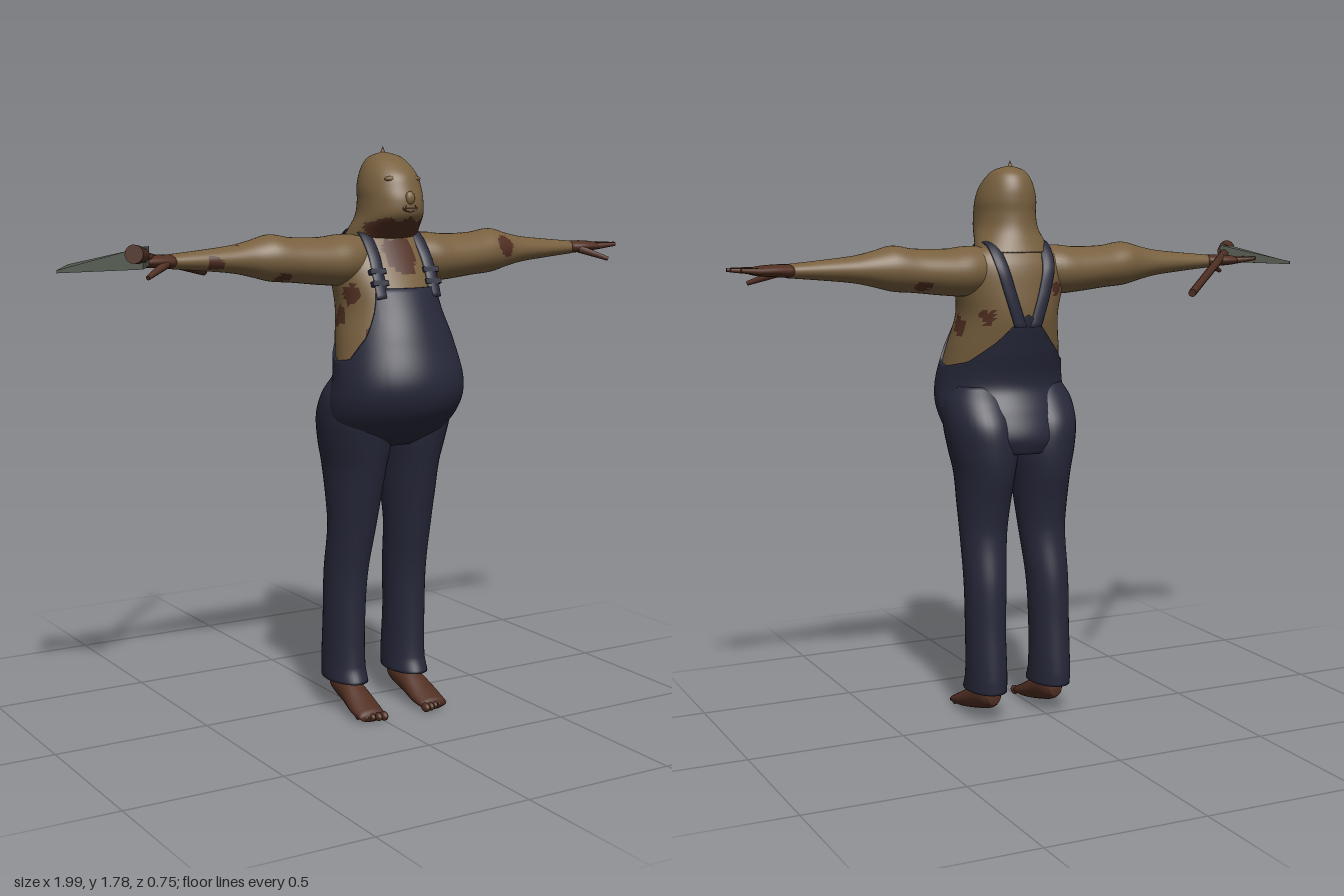
import * as THREE from 'three';

const CX = 0.08; // body centre line
const mat = (name, color) => { const m = new THREE.MeshStandardMaterial({ color }); m.name = name; return m; };

// Smooth interpolation of cross-section rows [a, c, h, p, q] at axis value a
function rowAt(rows, a) {
  const n = rows.length;
  let i = 0;
  while (i < n - 2 && a > rows[i + 1][0]) i++;
  const A = rows[i], B = rows[i + 1], d = B[0] - A[0], t = (a - A[0]) / d;
  const slope = (j, k) => {
    const l = rows[Math.max(j - 1, 0)], r = rows[Math.min(j + 1, n - 1)];
    return (r[k] - l[k]) / (r[0] - l[0]);
  };
  return A.map((v, k) => k === 0 ? a :
    (2 * t ** 3 - 3 * t * t + 1) * v + (t ** 3 - 2 * t * t + t) * d * slope(i, k) +
    (3 * t * t - 2 * t ** 3) * B[k] + (t ** 3 - t * t) * d * slope(i + 1, k));
}
const ringPoint = (r, th, grow = 0) =>
  [r[1] + (r[2] + grow) * Math.cos(th), (r[3] + r[4]) / 2 + ((r[3] - r[4]) / 2 + grow) * Math.sin(th)];

// Closed tube skin over f(angle, j); pick(x, y, z) chooses the material of each face
function skinGeometry(nu, nv, f, pick = () => 0) {
  const pos = [], faces = [[], []];
  for (let j = 0; j <= nv; j++) for (let i = 0; i < nu; i++) pos.push(f(i / nu * Math.PI * 2, j));
  for (const j of [0, nv]) {
    const c = [0, 0, 0];
    for (let i = 0; i < nu; i++) for (let k = 0; k < 3; k++) c[k] += pos[j * nu + i][k] / nu;
    pos.push(c);
  }
  const tri = (a, b, c) => {
    const m = [0, 1, 2].map(k => (pos[a][k] + pos[b][k] + pos[c][k]) / 3);
    faces[pick(...m) ? 1 : 0].push(a, b, c);
  };
  const base = (nv + 1) * nu;
  for (let i = 0; i < nu; i++) {
    const i2 = (i + 1) % nu;
    for (let j = 0; j < nv; j++) {
      const a = j * nu + i, b = j * nu + i2;
      tri(a, a + nu, b);
      tri(b, a + nu, b + nu);
    }
    tri(base, i, i2);
    tri(base + 1, nv * nu + i2, nv * nu + i);
  }
  const g = new THREE.BufferGeometry();
  g.setAttribute('position', new THREE.Float32BufferAttribute(pos.flat(), 3));
  g.setIndex(faces.flat());
  g.addGroup(0, faces[0].length, 0);
  g.addGroup(faces[0].length, faces[1].length, 1);
  g.computeVertexNormals();
  return g;
}
function loft(rows, map, pick, nu = 40, sub = 6) {
  const nv = (rows.length - 1) * sub;
  const rings = Array.from({ length: nv + 1 }, (_, j) => {
    const i = Math.min(Math.floor(j / sub), rows.length - 2);
    return rowAt(rows, THREE.MathUtils.lerp(rows[i][0], rows[i + 1][0], (j - i * sub) / sub));
  });
  return skinGeometry(nu, nv, (th, j) => map(rings[j][0], ...ringPoint(rings[j], th)), pick);
}
const upright = (y, u, w) => [CX + u, y, w];
const near = spots => (x, y, z) => spots.some(([a, b, c, r]) =>
  Math.hypot(x - a, y - b, z - c) < r * (1 + 0.2 * Math.sin(90 * x + 70 * y + 110 * z)));

export function createModel() {
  const root = new THREE.Group();
  const skin = mat('skin', 0x78603f), stain = mat('stainedSkin', 0x512f22);
  const denim = mat('denim', 0x27283a), steel = mat('steel', 0x50564c);
  const wood = mat('wood', 0x4e2f22), dark = mat('darkLines', 0x33241a);
  const both = [skin, stain];
  const add = (name, geo, m, p) => {
    const o = new THREE.Mesh(geo, m);
    o.name = name;
    if (p) o.position.set(...p);
    root.add(o);
    return o;
  };
  const rod = (name, a, b, r0, r1, m, seg = 10) => {
    const A = new THREE.Vector3(...a), B = new THREE.Vector3(...b), d = B.clone().sub(A);
    const o = add(name, new THREE.CylinderGeometry(r1, r0, d.length(), seg), m);
    o.position.copy(A).add(B).multiplyScalar(0.5);
    o.quaternion.setFromUnitVectors(new THREE.Vector3(0, 1, 0), d.normalize());
  };

  // Torso: [y, x centre, half width, front z, back z]
  const torso = [[0.87, 0, 0.13, 0.20, -0.03], [0.92, 0, 0.185, 0.275, -0.045], [1.0, 0, 0.208, 0.345, -0.02],
    [1.08, 0, 0.203, 0.362, 0.015], [1.2, 0, 0.183, 0.325, -0.012], [1.3, 0, 0.165, 0.283, -0.034],
    [1.4, 0, 0.178, 0.235, -0.03], [1.46, 0, 0.175, 0.20, -0.02], [1.5, 0, 0.15, 0.175, 0], [1.54, 0, 0.07, 0.15, 0.03]];
  add('torso', loft(torso, upright, near([[CX, 1.46, 0.19, 0.055], [CX, 1.42, 0.22, 0.03], [CX + 0.16, 1.27, 0.12, 0.032],
    [CX - 0.16, 1.27, 0.12, 0.032], [CX + 0.16, 1.34, 0.17, 0.03], [CX - 0.16, 1.34, 0.17, 0.03],
    [CX + 0.13, 1.21, 0.25, 0.03], [CX - 0.13, 1.21, 0.25, 0.03], [CX + 0.13, 1.3, 0, 0.03], [CX - 0.12, 1.38, 0, 0.025]]), 64, 8), both);

  // Overalls body: shell whose upper edge varies from the bib round to the back
  const edge = [[0, 1.36], [0.66, 1.36], [0.74, 1.31], [0.95, 1.22], [1.3, 1.15], [1.7, 1.14], [2.2, 1.16],
    [2.6, 1.22], [2.9, 1.28], [3.15, 1.31]];
  const topEdge = th => {
    const f = Math.acos(THREE.MathUtils.clamp(Math.sin(th), -1, 1));
    const i = Math.max(1, edge.findIndex(e => e[0] >= f)), [a, b] = [edge[i - 1], edge[i]];
    return a[1] + (b[1] - a[1]) * (f - a[0]) / (b[0] - a[0]);
  };
  const NV = 40;
  add('overallsBody', skinGeometry(96, NV, (th, j) => {
    // last ring tucks inwards to close the edge
    const y = THREE.MathUtils.lerp(0.87, topEdge(th), Math.min(j / (NV - 1), 1));
    return upright(y, ...ringPoint(rowAt(torso, y), th, j === NV ? -0.03 : 0.008));
  }), denim);

  // Hood and face
  const head = [[1.5, 0, 0.124, 0.165, -0.012], [1.53, 0, 0.115, 0.195, 0.0], [1.575, 0, 0.1, 0.248, 0.015],
    [1.62, 0, 0.095, 0.255, 0.02], [1.66, 0, 0.094, 0.243, 0.018], [1.7, 0, 0.084, 0.225, 0.022],
    [1.735, 0, 0.066, 0.185, 0.037], [1.755, 0, 0.045, 0.15, 0.06], [1.766, 0, 0.012, 0.11, 0.09]];
  add('hood', loft(head, upright, (x, y, z) => y < 1.565 + 0.008 * Math.sin(x * 90) && z > 0.15, 48, 6), both);
  add('hoodTuft', new THREE.ConeGeometry(0.012, 0.03, 8), skin, [CX, 1.77, 0.095]);
  add('nose', new THREE.SphereGeometry(0.016, 14, 10), skin, [CX, 1.63, 0.25]).scale.set(1, 1.3, 0.8);
  for (const s of [-1, 1]) {
    const eye = add('eyeRim', new THREE.TorusGeometry(0.015, 0.0035, 6, 20), dark, [CX + s * 0.038, 1.663, 0.222]);
    eye.scale.y = 0.65;
    eye.rotation.y = s * 0.4;
    add('eyeSlit', new THREE.BoxGeometry(0.02, 0.004, 0.008), dark, [CX + s * 0.038, 1.663, 0.222]).rotation.y = s * 0.4;
    add('brow', new THREE.SphereGeometry(0.022, 12, 8), skin, [CX + s * 0.04, 1.687, 0.208]).scale.set(1.1, 0.4, 0.6);
  }
  const mouth = add('mouthRim', new THREE.TorusGeometry(0.022, 0.005, 6, 24), dark, [CX, 1.6, 0.25]);
  mouth.scale.y = 0.5;
  add('mouthSlit', new THREE.BoxGeometry(0.035, 0.005, 0.008), dark, [CX, 1.6, 0.252]);

  // Arms: [distance from centre line, y centre, half height, z, z]
  const arm = [[0.05, 1.45, 0.065, 0.03, 0.16], [0.15, 1.442, 0.078, 0, 0.19], [0.22, 1.44, 0.073, 0, 0.19],
    [0.33, 1.447, 0.068, 0.01, 0.185], [0.4, 1.455, 0.07, 0.015, 0.178], [0.46, 1.455, 0.055, 0.03, 0.16],
    [0.52, 1.455, 0.042, 0.04, 0.152], [0.62, 1.455, 0.031, 0.053, 0.142], [0.73, 1.455, 0.021, 0.065, 0.13]];
  const hand = [[0.715, 1.455, 0.021, 0.064, 0.131], [0.77, 1.457, 0.019, 0.052, 0.142],
    [0.82, 1.457, 0.015, 0.05, 0.142], [0.845, 1.457, 0.01, 0.055, 0.135]];
  const armSpots = [[0.51, 1.475, 0.17, 0.035], [0.58, 1.5, 0.1, 0.015], [-0.52, 1.44, 0.15, 0.03],
    [-0.43, 1.51, 0.12, 0.016], [-0.3, 1.39, 0.15, 0.025], [0.4, 1.4, 0.03, 0.025]];
  // Legs: [y, x offset, half width, front z, back z]; feet: [z, x offset, half width, sole y, top y]
  const leg = [[0.1, 0.113, 0.063, 0.16, -0.045], [0.15, 0.113, 0.062, 0.14, -0.045], [0.3, 0.113, 0.062, 0.135, -0.032],
    [0.45, 0.11, 0.066, 0.142, -0.025], [0.6, 0.104, 0.074, 0.17, -0.002], [0.7, 0.101, 0.083, 0.192, -0.015],
    [0.8, 0.098, 0.093, 0.215, -0.04], [0.88, 0.1, 0.107, 0.235, -0.048], [0.96, 0.107, 0.11, 0.25, -0.04],
    [1.03, 0.107, 0.105, 0.24, 0.0], [1.08, 0.105, 0.08, 0.2, 0.04]];
  const foot = [[-0.012, 0.11, 0.02, 0.06, 0.11], [0.02, 0.11, 0.036, 0.042, 0.125], [0.1, 0.112, 0.042, 0.02, 0.105],
    [0.18, 0.115, 0.05, 0.004, 0.062], [0.235, 0.116, 0.046, 0.002, 0.035]];
  for (const s of [-1, 1]) {
    const side = s > 0 ? 'left' : 'right';
    const facing = rows => rows.map(([a, c, h, p, q]) => s > 0 ? [a, c, h, p, q] : [a, c, h, q, p]);
    const shift = rows => rows.map(([a, c, ...r]) => [a, s * c, ...r]);
    const along = (a, u, w) => [CX + s * a, u, w];
    add(side + 'Arm', loft(facing(arm), along, near(armSpots)), both);
    add(side + 'Hand', loft(facing(hand), along, null ?? undefined, 20, 4), stain);
    [[0.06, 0.885], [0.083, 0.908], [0.106, 0.912], [0.13, 0.89]].forEach(([z, tip], i) => {
      const z2 = z + (i - 1.5) * 0.006;
      rod(side + 'Finger', [CX + s * 0.82, 1.457, z], [CX + s * tip, 1.462, z2], 0.011, 0.006, stain);
    });
    rod(side + 'Thumb', [CX + s * 0.75, 1.45, 0.125], [CX + s * 0.83, 1.417, 0.178], 0.014, 0.007, stain);

    add(side + 'TrouserLeg', loft(shift(leg), upright), denim);
    add(side + 'Foot', loft(shift(foot), (z, u, w) => [CX + u, w, z], undefined, 24, 5), stain);
    for (let i = 0; i < 5; i++) {
      const toe = add(side + 'Toe', new THREE.SphereGeometry(0.015 - i * 0.0015, 10, 8), stain,
        [CX + s * (0.079 + i * 0.019), 0.016, 0.241 - i * i * 0.002]);
      toe.scale.set(0.8, 1, 1.3);
    }

    // Shoulder strap following the chest, over the shoulder and down to the back
    const on = (x, y, f) => {
      const r = rowAt(torso, y);
      const k = Math.sqrt(Math.max(0.05, 1 - (x / r[2]) ** 2));
      return new THREE.Vector3(CX + s * x, y, (r[3] + r[4]) / 2 + f * ((r[3] - r[4]) / 2 * k + 0.009));
    };
    const path = new THREE.CatmullRomCurve3([on(0.095, 1.33, 1), on(0.095, 1.4, 1), on(0.092, 1.46, 1),
      new THREE.Vector3(CX + s * 0.09, 1.525, 0.125), new THREE.Vector3(CX + s * 0.088, 1.525, 0.045),
      on(0.08, 1.46, -1), on(0.06, 1.38, -1), on(0.025, 1.27, -1)]);
    const X = new THREE.Vector3(1, 0, 0);
    add(side + 'Strap', skinGeometry(10, 48, (th, j) => {
      const n = X.clone().cross(path.getTangent(j / 48)).normalize();
      return path.getPoint(j / 48).addScaledVector(X, 0.021 * Math.cos(th)).addScaledVector(n, 0.008 * Math.sin(th)).toArray();
    }), denim);
    for (const y of [1.375, 1.41]) {
      const p = on(0.095, y, 1);
      add(side + 'Buckle', new THREE.BoxGeometry(0.055, 0.016, 0.016), denim, p.toArray()).rotation.x = -0.4;
    }
  }

  // Axe: handle, butt of the handle, socket and wedge-shaped blade
  rod('axeHandle', [-0.31, 1.385, -0.37], [-0.8, 1.487, 0.21], 0.012, 0.014, wood, 12);
  rod('axeHandleEnd', [-0.775, 1.482, 0.19], [-0.822, 1.49, 0.248], 0.024, 0.027, wood, 12);
  const plan = [[-0.735, 0.155], [-0.925, 0.015], [-1.0, 0.12], [-0.785, 0.225]];
  const upper = [1.505, 1.452, 1.444, 1.508], lower = [1.45, 1.442, 1.436, 1.445];
  const corners = [...plan.map(([x, z], i) => [x, lower[i], z]), ...plan.map(([x, z], i) => [x, upper[i], z])];
  const quads = [[4, 7, 6, 5], [0, 1, 2, 3], [0, 4, 5, 1], [1, 5, 6, 2], [2, 6, 7, 3], [3, 7, 4, 0]];
  const blade = new THREE.BufferGeometry();
  blade.setAttribute('position', new THREE.Float32BufferAttribute(
    quads.flatMap(([a, b, c, d]) => [a, c, b, a, d, c].flatMap(i => corners[i])), 3));
  // corners run anticlockwise seen from below, so turn every face outwards
  const p = blade.attributes.position, mid = new THREE.Vector3(-0.86, 1.462, 0.13);
  const v = [0, 1, 2].map(() => new THREE.Vector3());
  for (let i = 0; i < p.count; i += 3) {
    v.forEach((q, k) => q.fromBufferAttribute(p, i + k));
    const n = v[1].clone().sub(v[0]).cross(v[2].clone().sub(v[0]));
    if (n.dot(v[0].clone().add(v[1]).add(v[2]).divideScalar(3).sub(mid)) < 0) {
      p.setXYZ(i + 1, ...v[2].toArray());
      p.setXYZ(i + 2, ...v[1].toArray());
    }
  }
  blade.computeVertexNormals();
  add('axeBlade', blade, steel);
  return root;
}
